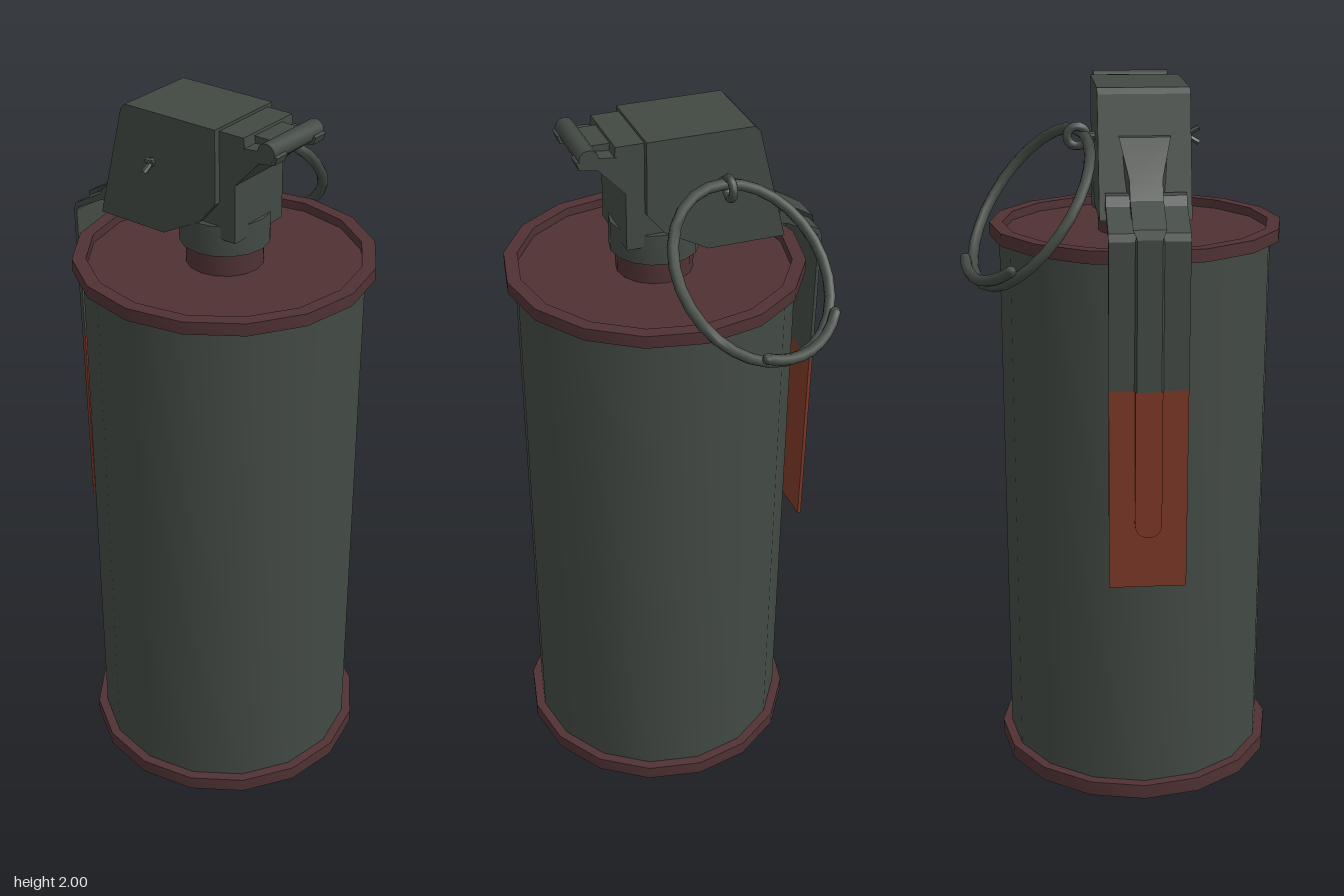
import * as THREE from 'three';
import { toCreasedNormals } from 'three/addons/utils/BufferGeometryUtils.js';

const CX = -0.04, CZ = 0.02; // axis of the canister

export function createModel() {
  const group = new THREE.Group();
  const paint = (name, color) => {
    const m = new THREE.MeshStandardMaterial({ color });
    m.name = name;
    return m;
  };
  const green = paint('olive green', 0x424943);
  const maroon = paint('maroon', 0x4f3133);
  const rust = paint('rust orange', 0x7c3827);

  const add = (name, geometry, material, crease = 0.6) => {
    const mesh = new THREE.Mesh(toCreasedNormals(geometry, crease), material);
    mesh.name = name;
    group.add(mesh);
    return mesh;
  };
  // Turned part on the canister axis, profile given as [radius, y]
  const turned = (name, profile, material, sides = 16) => {
    const g = new THREE.LatheGeometry(profile.map(p => new THREE.Vector2(...p)), sides);
    add(name, g.translate(CX, 0, CZ), material);
  };
  // Side profile given as [z, y], extruded across x
  const slab = (profile, x0, x1) => {
    const shape = new THREE.Shape(profile.map(p => new THREE.Vector2(...p)));
    return new THREE.ExtrudeGeometry(shape, { depth: x1 - x0, bevelEnabled: false })
      .rotateY(-Math.PI / 2).translate(x1, 0, 0);
  };
  const rod = (r, length, x, y, z, sides = 10) =>
    new THREE.CylinderGeometry(r, r, length, sides).rotateZ(Math.PI / 2).translate(x, y, z);

  // Canister with rolled end caps
  turned('canister', [[0.38, 0.03], [0.38, 1.59]], green);
  turned('bottomCap', [[0, 0.002], [0.407, 0.002], [0.407, 0.045], [0.38, 0.045]], maroon);
  turned('topCap', [[0.38, 1.575], [0.407, 1.575], [0.407, 1.61], [0.37, 1.61], [0.37, 1.585], [0, 1.585]], maroon);
  add('basePlug', new THREE.CylinderGeometry(0.055, 0.055, 0.004, 6).translate(0.05, 0.002, 0.16), green);

  // Neck and collar
  turned('neck', [[0.105, 1.58], [0.105, 1.66]], maroon);
  turned('collar', [[0, 1.65], [0.122, 1.65], [0.122, 1.735], [0, 1.735]], green);

  // Fuse head: inner block and wider folded cover
  add('fuseBlock', slab([[0.13, 1.7], [0.13, 1.86], [0.2, 1.935], [0.2, 1.95],
    [0.16, 1.955], [0.155, 1.992], [-0.15, 1.992], [-0.15, 1.7]], -0.142, 0.062), green, 0.3);
  add('fuseCover', slab([[0.08, 2], [-0.21, 2], [-0.225, 1.985], [-0.305, 1.675],
    [-0.09, 1.675], [0.03, 1.74], [0.08, 1.8]], -0.16, 0.08), green, 0.3);

  // Hinge at the front
  add('hingeRoll', rod(0.026, 0.21, CX, 1.97, 0.225, 12), green);
  add('hingeTongue', new THREE.BoxGeometry(0.115, 0.025, 0.08).translate(CX, 1.972, 0.175), green);
  for (const x of [-0.122, 0.042]) {
    add('hingeHook', slab([[0.15, 1.93], [0.25, 1.945], [0.258, 1.965], [0.24, 1.975], [0.15, 1.965]],
      x - 0.022, x + 0.022), green);
  }

  // Safety lever, bent down the back, with a painted lower end
  const L0 = -0.145, L1 = 0.065;
  add('lever', slab([[-0.295, 1.745], [-0.31, 1.74], [-0.325, 1.715], [-0.415, 1.665], [-0.423, 1.645],
    [-0.419, 1.25], [-0.409, 1.25], [-0.413, 1.64], [-0.408, 1.652], [-0.318, 1.7], [-0.295, 1.7]], L0, L1), green, 0.3);
  add('leverTip', slab([[-0.419, 1.25], [-0.414, 0.69], [-0.404, 0.69], [-0.409, 1.25]], L0, L1), rust, 0.3);

  // Raised rib along the lever, flared where it meets the cover
  const rib = slab([[-0.235, 1.89], [-0.258, 1.88], [-0.3, 1.78], [-0.33, 1.73], [-0.422, 1.675],
    [-0.43, 1.65], [-0.43, 1.25], [-0.412, 1.25], [-0.415, 1.64], [-0.31, 1.7], [-0.27, 1.78]], -0.083, 0.003);
  const p = rib.attributes.position;
  for (let i = 0; i < p.count; i++) {
    if (p.getY(i) > 1.8) p.setX(i, CX + (p.getX(i) - CX) * 1.55);
    else if (p.getZ(i) < -0.425) p.setX(i, CX + (p.getX(i) - CX) * 0.75);
  }
  add('leverRib', rib, green, 0.3);
  const tip = new THREE.Shape();
  tip.moveTo(-0.036, 1.25);
  tip.lineTo(-0.036, 0.876);
  tip.absarc(0, 0.876, 0.036, Math.PI, Math.PI * 2, false);
  tip.lineTo(0.036, 1.25);
  add('leverRibTip', new THREE.ExtrudeGeometry(tip, { depth: 0.016, bevelEnabled: false, curveSegments: 6 })
    .translate(CX, 0, -0.43), rust);

  // Pull pin with its eye and spread ends
  const PY = 1.865, PZ = -0.125;
  add('pin', rod(0.012, 0.27, -0.035, PY, PZ), green);
  add('pinEye', new THREE.TorusGeometry(0.026, 0.012, 8, 14).translate(0.128, PY, PZ), green, 1.2);
  for (const s of [-1, 1]) {
    add('pinEnd', new THREE.TubeGeometry(new THREE.LineCurve3(
      new THREE.Vector3(-0.16, PY, PZ), new THREE.Vector3(-0.195, PY + s * 0.02, PZ)), 1, 0.008, 6), green);
  }

  // Split ring hanging from the eye, with an overlapping end
  const centre = new THREE.Vector3(0.255, 1.685, -0.145);
  const u = new THREE.Vector3(0.145, -0.185, -0.03);
  const v = new THREE.Vector3(-0.06, -0.045, -0.225);
  const n = u.clone().cross(v).normalize();
  const arc = (from, to, lift, count) => Array.from({ length: count }, (_, i) => {
    const t = from + (to - from) * i / (count - 1);
    return centre.clone().addScaledVector(u, Math.cos(t)).addScaledVector(v, Math.sin(t)).addScaledVector(n, lift);
  });
  const loop = arc(0, Math.PI * 2, 0, 25).slice(0, 24);
  add('pullRing', new THREE.TubeGeometry(new THREE.CatmullRomCurve3(loop, true), 28, 0.015, 8, true), green, 1.2);
  const end = arc(-0.3, 0.95, 0.028, 8);
  add('pullRingEnd', new THREE.TubeGeometry(new THREE.CatmullRomCurve3(end), 8, 0.015, 8), green, 1.2);
  for (const q of [end[0], end[7]]) {
    add('pullRingCap', new THREE.SphereGeometry(0.015, 8, 6).translate(q.x, q.y, q.z), green, 1.2);
  }

  return group;
}
